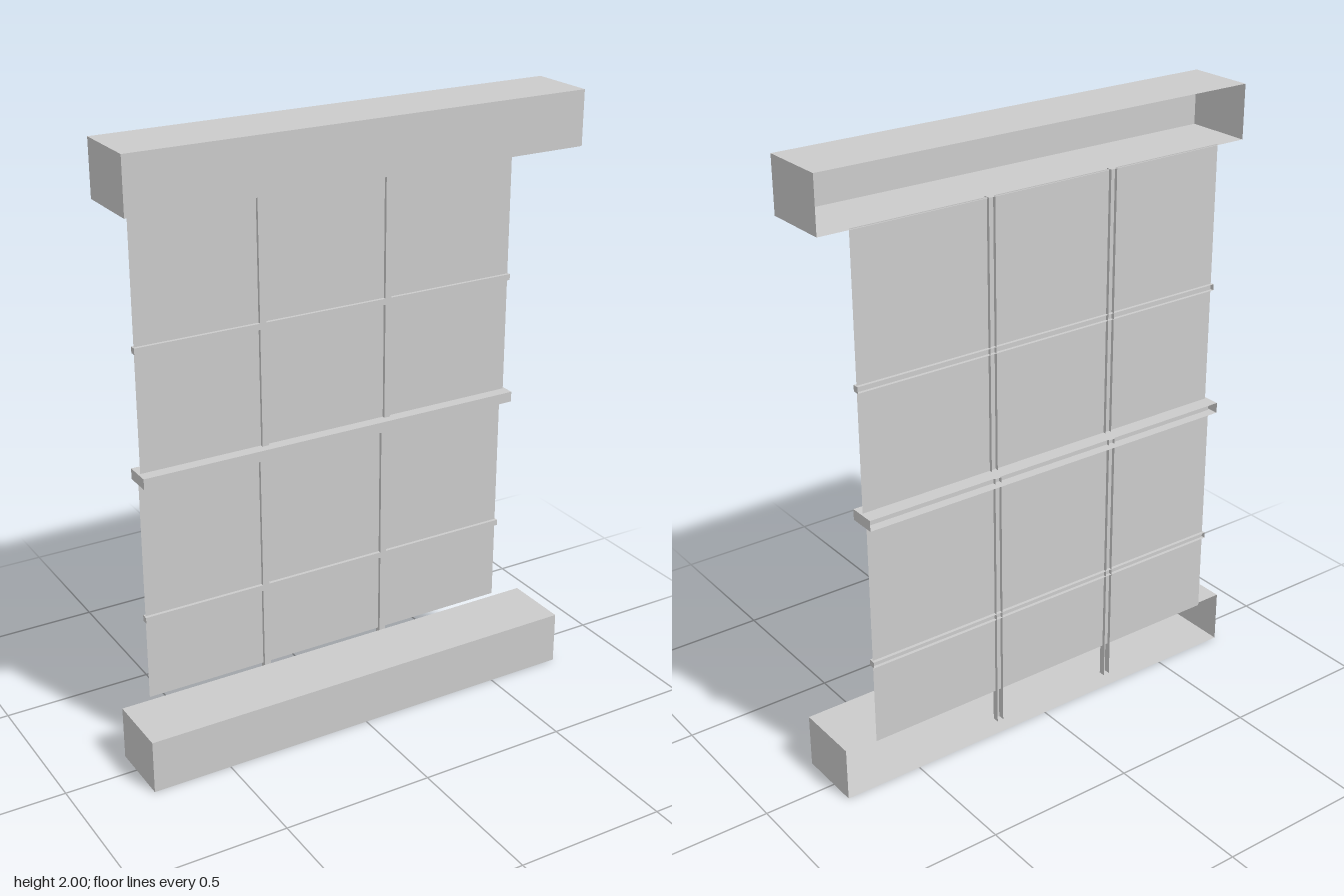
import * as THREE from 'three';

const material = new THREE.MeshStandardMaterial({ color: 0xcccccc, side: THREE.DoubleSide });

// Thin-walled box, open at the back, given by its extents on each axis
function channel(name, [x0, x1], [y0, y1], [z0, z1]) {
  const geometry = new THREE.BoxGeometry(x1 - x0, y1 - y0, z1 - z0);
  geometry.setIndex(Array.from(geometry.index.array).slice(0, 30)); // drop the back face
  geometry.clearGroups();
  const mesh = new THREE.Mesh(geometry, material);
  mesh.name = name;
  mesh.position.set((x0 + x1) / 2, (y0 + y1) / 2, (z0 + z1) / 2);
  return mesh;
}

// One sash: a flat pane crossed by two upright bars and one level bar
function sash(name, paneY, barY, crossY, z) {
  const group = new THREE.Group();
  group.name = name;
  const pane = new THREE.Mesh(new THREE.PlaneGeometry(1.322, paneY[1] - paneY[0]), material);
  pane.name = 'pane';
  pane.position.set(0, (paneY[0] + paneY[1]) / 2, (z[0] + z[1]) / 2);
  group.add(pane);
  for (const x of [-0.242, 0.2]) {
    group.add(channel('uprightBar', [x - 0.011, x + 0.011], barY, z));
  }
  group.add(channel('crossBar', [-0.664, 0.664], [crossY - 0.01, crossY + 0.01], z));
  return group;
}

export function createModel() {
  const model = new THREE.Group();
  model.name = 'sashWindow';

  // Lintel above and sill below
  model.add(channel('lintel', [-0.762, 0.762], [1.825, 2], [-0.088, 0.135]));
  model.add(channel('sill', [-0.762, 0.762], [0, 0.178], [-0.088, 0.135]));

  // Upper sash sits slightly in front of the lower one
  model.add(sash('upperSash', [0.95, 1.828], [0.95, 1.828], 1.36, [-0.095, -0.074]));
  model.add(sash('lowerSash', [0.18, 0.95], [0.067, 0.95], 0.463, [-0.113, -0.091]));

  // Rail where the two sashes meet
  model.add(channel('meetingRail', [-0.668, 0.668], [0.932, 0.967], [-0.135, -0.045]));

  return model;
}
